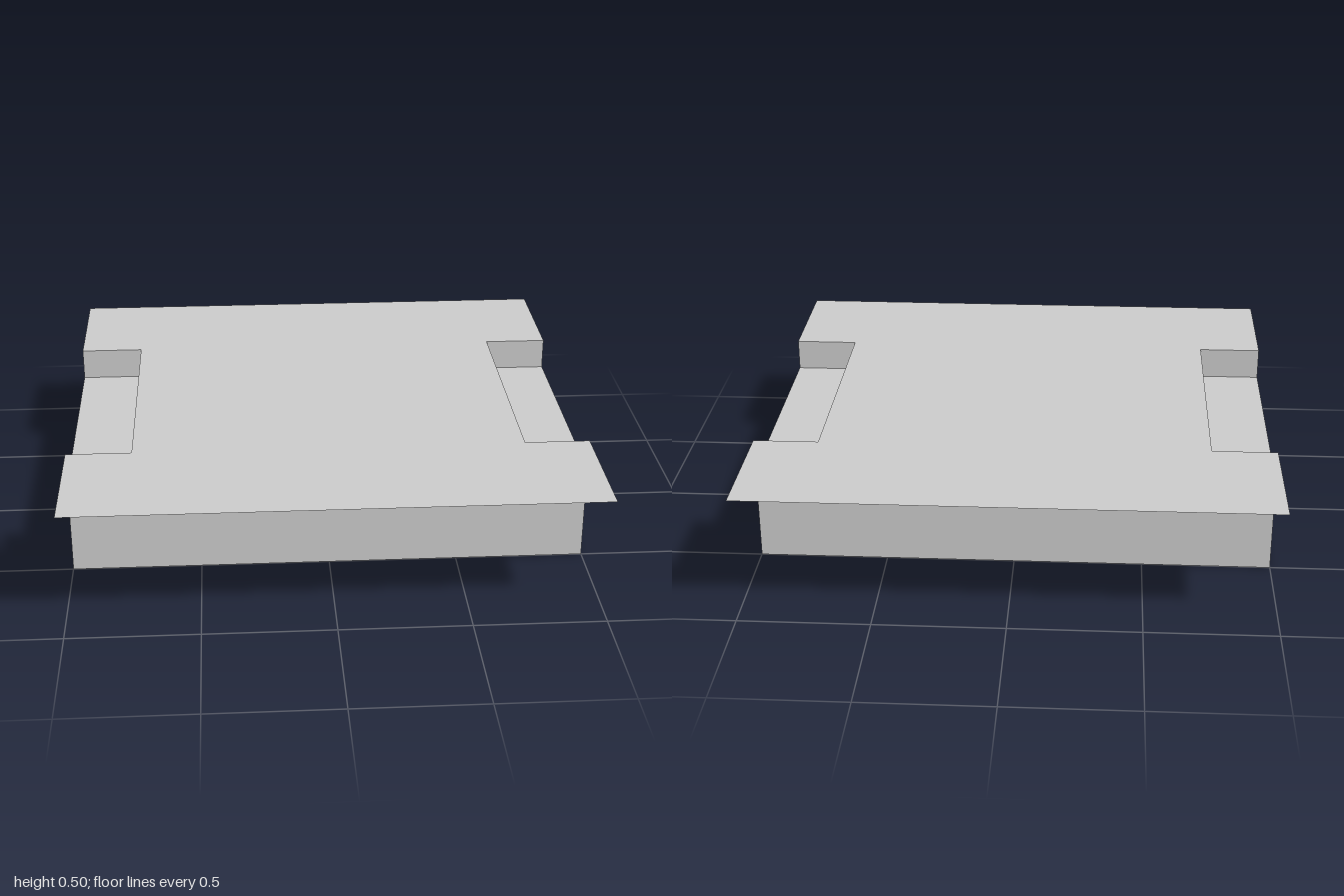
import * as THREE from 'three';

const TOP = 0.5, SHELF = 0.375, LIP = 0.0625;
const HALF = 1, CHANNEL = 0.5, NOTCH = 0.75;

export function createModel() {
  const group = new THREE.Group();
  const material = new THREE.MeshStandardMaterial({
    color: 0xcccccc, flatShading: true, side: THREE.DoubleSide,
  });

  const add = (name, geometry, x = 0, y = 0, z = 0) => {
    const mesh = new THREE.Mesh(geometry, material);
    mesh.name = name;
    mesh.position.set(x, y, z);
    group.add(mesh);
  };
  const sheet = (width, depth) => new THREE.PlaneGeometry(width, depth).rotateX(-Math.PI / 2);

  // Thin top plate with a notch in each end
  const outline = new THREE.Shape([
    [-HALF, -HALF], [HALF, -HALF],
    [HALF, -CHANNEL], [NOTCH, -CHANNEL], [NOTCH, CHANNEL], [HALF, CHANNEL],
    [HALF, HALF], [-HALF, HALF],
    [-HALF, CHANNEL], [-NOTCH, CHANNEL], [-NOTCH, -CHANNEL], [-HALF, -CHANNEL],
  ].map(([x, y]) => new THREE.Vector2(x, y)));
  add('topPlate', new THREE.ShapeGeometry(outline).rotateX(-Math.PI / 2), 0, TOP);

  // Underside of the thicker middle, between the notches
  add('topUnderside', sheet(2 * NOTCH, 2 * CHANNEL).rotateX(Math.PI), 0, TOP - LIP);

  // Open-ended channel: floor and inner shelf
  add('floor', sheet(2 * HALF, 2 * CHANNEL));
  add('shelf', sheet(2 * HALF, 2 * CHANNEL), 0, SHELF);

  for (const side of [-1, 1]) {
    // Long channel walls, front and back
    add(side > 0 ? 'frontWall' : 'backWall',
      new THREE.PlaneGeometry(2 * HALF, TOP).rotateY(side > 0 ? 0 : Math.PI),
      0, TOP / 2, side * CHANNEL);
    // Lip hanging from the inner edge of each notch
    add(side > 0 ? 'leftLip' : 'rightLip',
      new THREE.PlaneGeometry(2 * CHANNEL, LIP).rotateY(side * Math.PI / 2),
      side * NOTCH, TOP - LIP / 2, 0);
  }
  return group;
}
